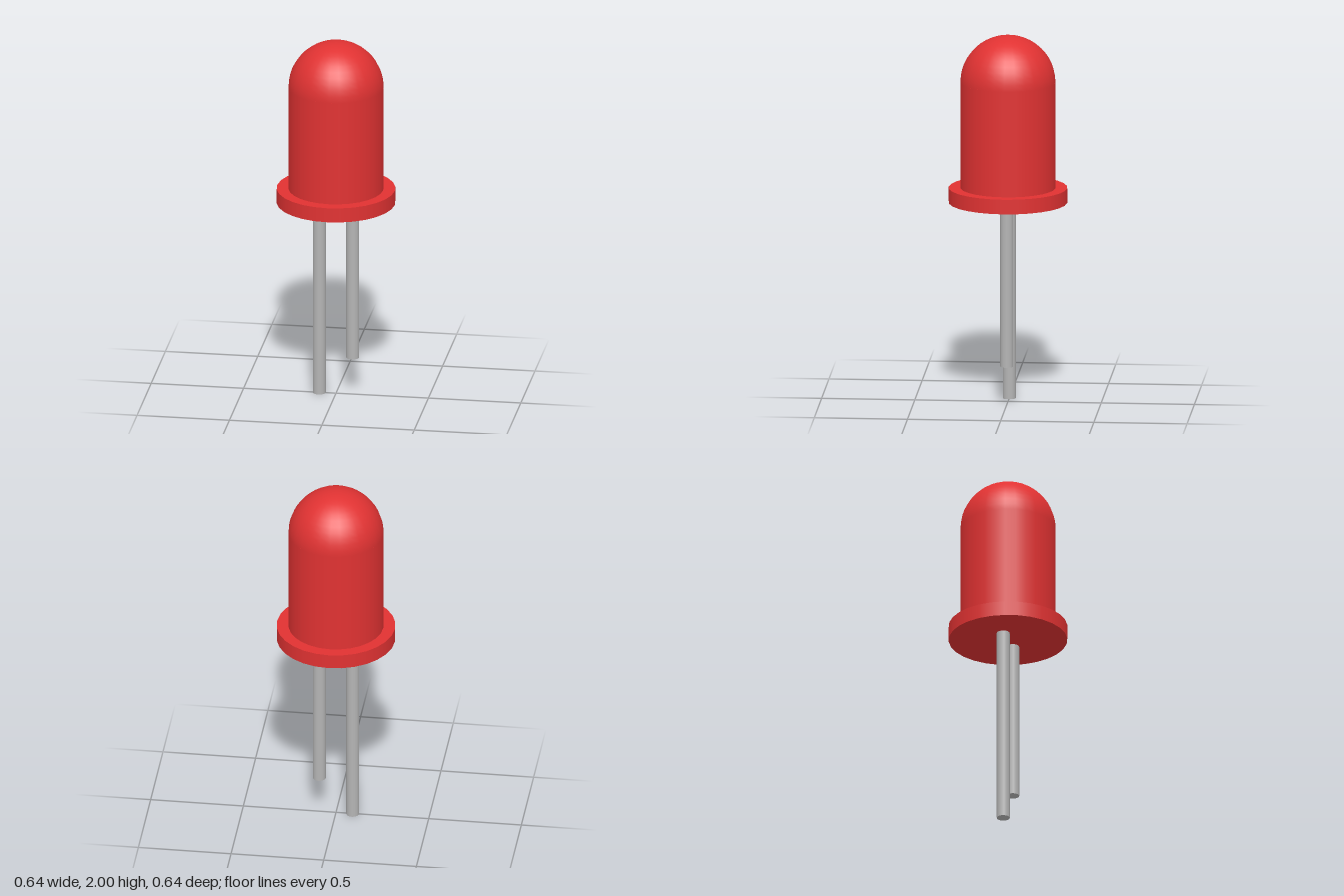
import * as THREE from 'three';

export function createModel() {
  const model = new THREE.Group();
  const red = new THREE.MeshStandardMaterial({ name: 'red plastic', color: 0xe03232 });
  const grey = new THREE.MeshStandardMaterial({ name: 'grey metal', color: 0xb4b4b4 });

  const add = (name, geometry, material, x, y) => {
    const mesh = new THREE.Mesh(geometry, material);
    mesh.name = name;
    mesh.position.set(x, y, 0);
    model.add(mesh);
  };
  // upright cylinder spanning two heights
  const rod = (name, radius, bottom, top, sides, material, x = 0) =>
    add(name, new THREE.CylinderGeometry(radius, radius, top - bottom, sides), material, x, (bottom + top) / 2);

  // lens: flange, barrel and hemispherical dome
  rod('flange', 0.318, 1.09, 1.17, 28, red);
  rod('barrel', 0.255, 1.16, 1.746, 28, red);
  add('dome', new THREE.SphereGeometry(0.255, 28, 12, 0, Math.PI * 2, 0, Math.PI / 2), red, 0, 1.745);

  // wire legs, the right one longer
  rod('longLeg', 0.035, 0, 1.1, 16, grey, -0.09);
  rod('shortLeg', 0.035, 0.21, 1.1, 16, grey, 0.09);

  return model;
}
